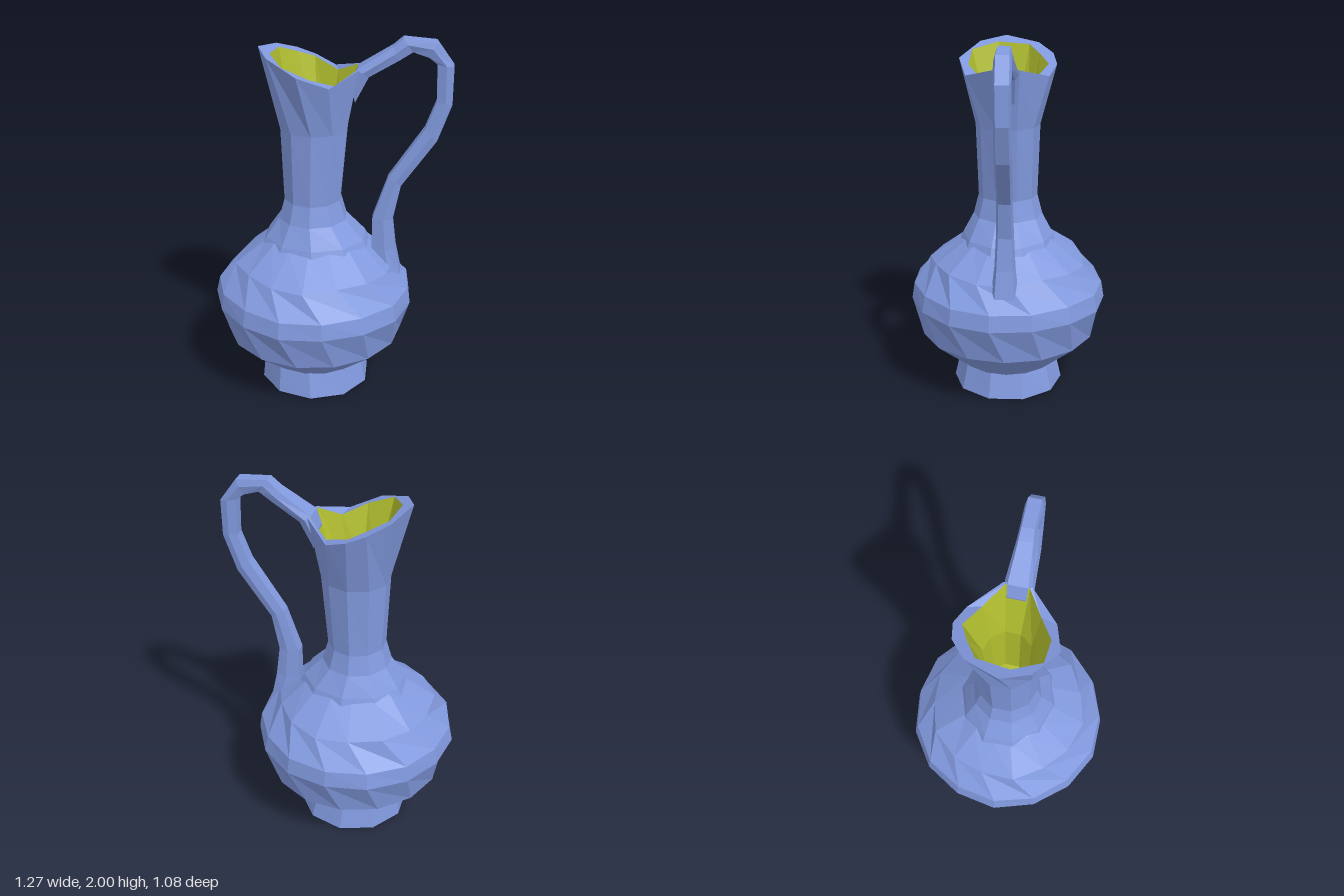
import * as THREE from 'three';

// Ring of points around a vertical axis; wobble makes the facets hand-shaped
function ring(n, y, cx, rx, rz = rx, phase = 0.5, wobble = 0) {
  return Array.from({ length: n }, (_, j) => {
    const a = ((j + phase) / n) * Math.PI * 2;
    const k = 1 + wobble * Math.sin(j * 2.3 + y * 9);
    return [cx + rx * k * Math.cos(a), y + wobble * 0.4 * Math.cos(j * 1.7 + y * 5), rz * k * Math.sin(a)];
  });
}

// Faceted skin through equal-sized rings, with optional end caps
function loft(rings, capStart = false, capEnd = false) {
  const pos = [];
  const tri = (a, b, c) => pos.push(...a, ...b, ...c);
  const n = rings[0].length;
  for (let i = 0; i < rings.length - 1; i++) {
    for (let j = 0; j < n; j++) {
      const k = (j + 1) % n, lo = rings[i], hi = rings[i + 1];
      tri(lo[j], hi[j], hi[k]);
      tri(lo[j], hi[k], lo[k]);
    }
  }
  const cap = (r, down) => {
    const c = [0, 1, 2].map((d) => r.reduce((s, p) => s + p[d], 0) / n);
    for (let j = 0; j < n; j++) {
      const k = (j + 1) % n;
      if (down) tri(c, r[j], r[k]);
      else tri(c, r[k], r[j]);
    }
  };
  if (capStart) cap(rings[0], true);
  if (capEnd) cap(rings[rings.length - 1], false);
  const g = new THREE.BufferGeometry();
  g.setAttribute('position', new THREE.Float32BufferAttribute(pos, 3));
  g.computeVertexNormals(); // unshared corners give flat facets
  return g;
}

export function createModel() {
  const group = new THREE.Group();
  const glaze = new THREE.MeshStandardMaterial({ color: 0x8199de });
  glaze.name = 'blueGlaze';
  const lining = new THREE.MeshStandardMaterial({ color: 0xb0bd2e });
  lining.name = 'yellowLining';
  const add = (name, geometry, material) => {
    const m = new THREE.Mesh(geometry, material);
    m.name = name;
    group.add(m);
  };

  // Foot
  add('foot', loft([
    ring(10, 0, -0.085, 0.31, 0.308),
    ring(10, 0.14, -0.095, 0.285, 0.275),
    ring(10, 0.2, -0.095, 0.28, 0.27),
  ], true), glaze);

  // Round belly
  add('belly', loft([
    ring(15, 0.14, -0.09, 0.28, 0.27, 0),
    ring(15, 0.32, -0.09, 0.49, 0.49, 0),
    ring(15, 0.52, -0.09, 0.55, 0.547, 0.35, 0.008),
    ring(15, 0.61, -0.09, 0.533, 0.53, 0.35, 0.008),
    ring(15, 0.74, -0.09, 0.43, 0.43, 0.85, 0.025),
    ring(15, 0.87, -0.085, 0.275, 0.25, 0.85, 0.02),
    ring(15, 0.93, -0.09, 0.19, 0.17, 0.85),
  ], true), glaze);

  // Lip outlines: rising toward the spout and again at the handle
  const lipY = (x) => (x > 0.1 ? 1.84 : 1.785 - 0.41 * (x - 0.01));
  const lip = (pts) => pts.map(([x, z]) => [x, lipY(x), z]);
  const outerLip = lip([[0.15, 0.07], [0.01, 0.22], [-0.15, 0.265], [-0.31, 0.16], [-0.37, 0.02],
    [-0.3, -0.16], [-0.2, -0.24], [-0.1, -0.26], [0.01, -0.22], [0.15, -0.07]]);
  const innerLip = lip([[0.14, 0.06], [0.03, 0.14], [-0.09, 0.21], [-0.23, 0.2], [-0.305, 0.06],
    [-0.28, -0.11], [-0.19, -0.17], [-0.1, -0.215], [0.03, -0.15], [0.14, -0.06]]);

  // Neck with flared mouth
  add('neck', loft([
    ring(10, 0.85, -0.08, 0.3, 0.265),
    ring(10, 0.89, -0.08, 0.28, 0.25),
    ring(10, 1.0, -0.095, 0.188, 0.19),
    ring(10, 1.11, -0.095, 0.157, 0.162),
    ring(10, 1.51, -0.085, 0.183, 0.175),
    outerLip,
    innerLip,
  ]), glaze);

  // Inside of the neck
  add('neckLining', loft([
    innerLip,
    ring(10, 1.5, -0.085, 0.13, 0.13),
    ring(10, 1.08, -0.09, 0.12, 0.118),
  ], false, true), lining);

  // Handle: [outer x, outer y, inner x, inner y, half width]
  const handle = [
    [0.39, 0.68, 0.24, 0.74, 0.07],
    [0.36, 0.83, 0.23, 0.83, 0.056],
    [0.34, 1.0, 0.23, 1.0, 0.047],
    [0.38, 1.2, 0.31, 1.24, 0.042],
    [0.56, 1.46, 0.495, 1.52, 0.045],
    [0.63, 1.66, 0.55, 1.67, 0.042],
    [0.63, 1.86, 0.545, 1.87, 0.045],
    [0.54, 1.985, 0.5, 1.905, 0.045],
    [0.37, 2.0, 0.42, 1.93, 0.042],
    [0.32, 1.955, 0.35, 1.885, 0.048],
    [0.14, 1.84, 0.2, 1.8, 0.068],
    [0.11, 1.76, 0.13, 1.66, 0.06],
  ].map(([ox, oy, ix, iy, w]) => {
    const at = (t, z) => [ox + (ix - ox) * t, oy + (iy - oy) * t, z];
    return [at(0, -w * 0.75), at(0, w * 0.75), at(0.45, w), at(1, w * 0.7), at(1, -w * 0.7), at(0.45, -w)];
  });
  add('handle', loft(handle, true, true), glaze);

  return group;
}
